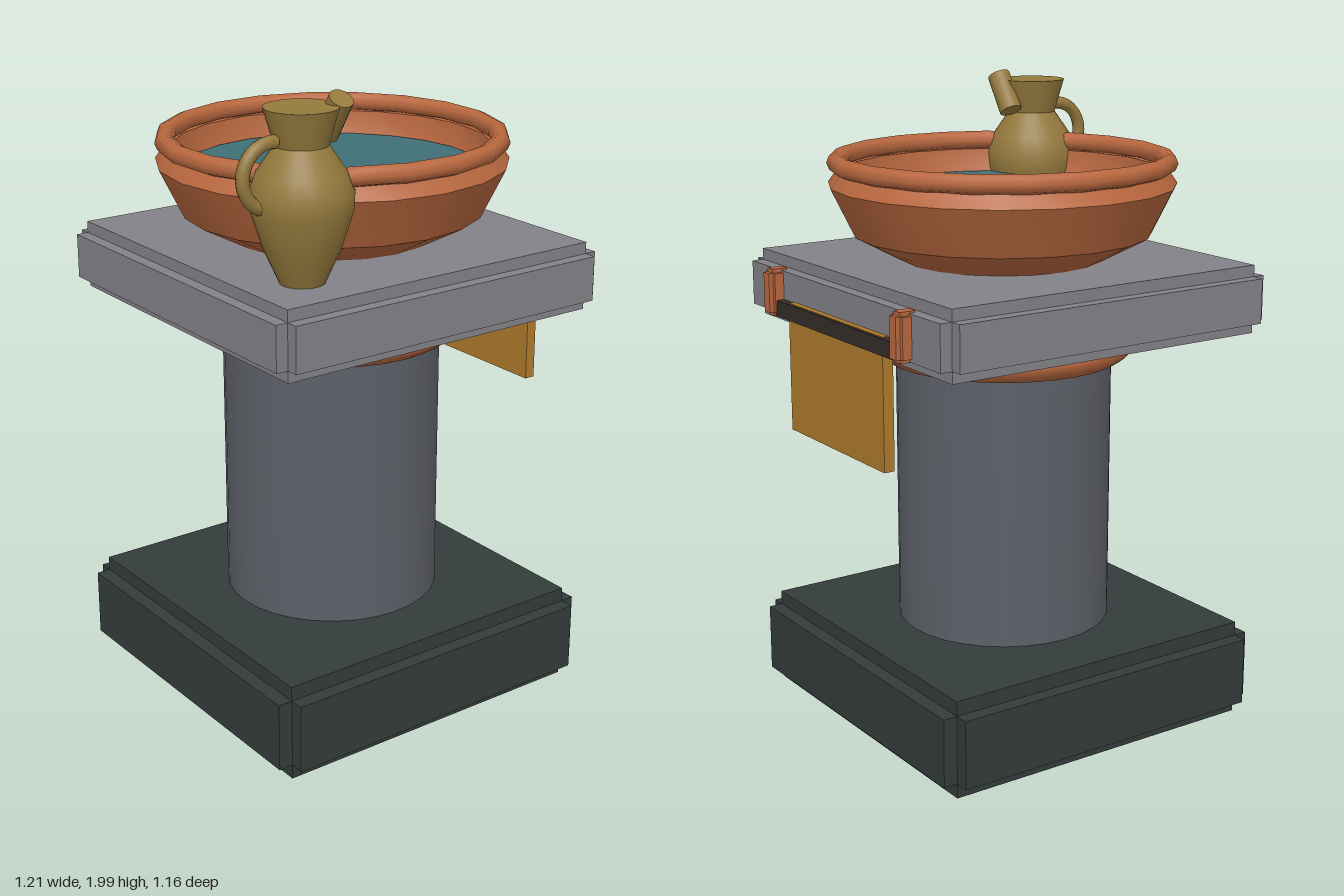
import * as THREE from 'three';
import { toCreasedNormals } from 'three/addons/utils/BufferGeometryUtils.js';

const paint = (name, color) => Object.assign(new THREE.MeshStandardMaterial({ color }), { name });

export function createModel() {
  const mats = {
    base: paint('dark green stone', 0x343c3b),
    column: paint('slate stone', 0x5d6068),
    slab: paint('grey stone', 0x828288),
    clay: paint('terracotta', 0xb9683f),
    water: paint('teal water', 0x406f76),
    brass: paint('aged brass', 0x957a3d),
    rail: paint('dark iron', 0x342d27),
    cloth: paint('ochre cloth', 0xb07a2c),
  };
  const model = new THREE.Group();
  model.name = 'washBasin';

  const add = (name, geo, mat, x = 0, y = 0, z = 0, parent = model) => {
    const m = new THREE.Mesh(geo, mat);
    m.name = name;
    m.position.set(x, y, z);
    parent.add(m);
    return m;
  };
  const box = (w, h, d) => new THREE.BoxGeometry(w, h, d);
  const lathe = (pts, n) => toCreasedNormals(
    new THREE.LatheGeometry(pts.map(([r, y]) => new THREE.Vector2(r, y)), n), 0.6);

  // Block with stepped edges: three boxes, each full length on one axis
  const steppedBlock = (name, mat, [w, h, d], [sx, sy, sz], x, y, z) => {
    const g = new THREE.Group();
    g.name = name;
    g.position.set(x, y, z);
    add(name + 'Wide', box(w, h - 2 * sy, d - 2 * sz), mat, 0, 0, 0, g);
    add(name + 'Tall', box(w - 2 * sx, h, d - 2 * sz), mat, 0, 0, 0, g);
    add(name + 'Deep', box(w - 2 * sx, h - 2 * sy, d), mat, 0, 0, 0, g);
    model.add(g);
  };

  // Pedestal
  const cx = -0.025;
  steppedBlock('base', mats.base, [1.15, 0.305, 1.15], [0.045, 0.045, 0.045], cx, 0.1525, 0);
  add('column', new THREE.CylinderGeometry(0.337, 0.337, 0.9, 32), mats.column, cx, 0.75, 0);
  add('collar', new THREE.TorusGeometry(0.355, 0.05, 10, 32).rotateX(Math.PI / 2), mats.clay, cx, 1.2, 0);
  steppedBlock('slab', mats.slab, [1.165, 0.21, 1.165], [0.038, 0.036, 0.038], -0.022, 1.355, 0);

  // Basin, water and open rim ring
  const bx = -0.02;
  add('bowl', lathe([
    [0, 1.46], [0.31, 1.46], [0.46, 1.54], [0.533, 1.69], [0.505, 1.73],
    [0.485, 1.73], [0.475, 1.66], [0.41, 1.55], [0, 1.52],
  ], 20), mats.clay, bx, 0, 0);
  add('water', new THREE.CylinderGeometry(0.463, 0.44, 0.04, 24), mats.water, bx, 1.64, 0);
  const start = 150 * Math.PI / 180, arc = 330 * Math.PI / 180;
  add('rimRing', new THREE.TorusGeometry(0.505, 0.029, 8, 18, arc).rotateZ(start).rotateX(Math.PI / 2),
    mats.clay, bx, 1.757, 0);
  for (const a of [start, start + arc]) {
    add('rimRingEnd', new THREE.SphereGeometry(0.029, 10, 8), mats.clay,
      bx + 0.505 * Math.cos(a), 1.757, 0.505 * Math.sin(a));
  }

  // Jug with side handle and tilted spout
  const jug = new THREE.Group();
  jug.name = 'jug';
  jug.position.set(-0.392, 0, 0.367);
  model.add(jug);
  add('jugBody', lathe([
    [0, 1.46], [0.065, 1.46], [0.11, 1.56], [0.145, 1.67], [0.148, 1.72],
    [0.128, 1.775], [0.076, 1.85], [0.106, 1.955], [0, 1.955],
  ], 24), mats.brass, 0, 0, 0, jug);
  add('jugHandle', new THREE.TorusGeometry(0.094, 0.02, 8, 16, Math.PI * 1.1).rotateZ(Math.PI * 0.45),
    mats.brass, -0.1, 1.777, 0, jug);
  add('jugSpout', new THREE.CylinderGeometry(0.036, 0.036, 0.13, 14).rotateX(0.57),
    mats.brass, 0.107, 1.915, 0.002, jug);

  // Towel rail on the left side
  add('rail', box(0.026, 0.05, 0.7), mats.rail, 0.573, 1.31, 0);
  add('towel', box(0.034, 0.4, 0.55), mats.cloth, 0.563, 1.138, 0);
  for (const s of [-1, 1]) {
    steppedBlock('railBracket', mats.clay, [0.078, 0.146, 0.06], [0.014, 0.012, 0.013], 0.565, 1.357, s * 0.37);
  }
  return model;
}
